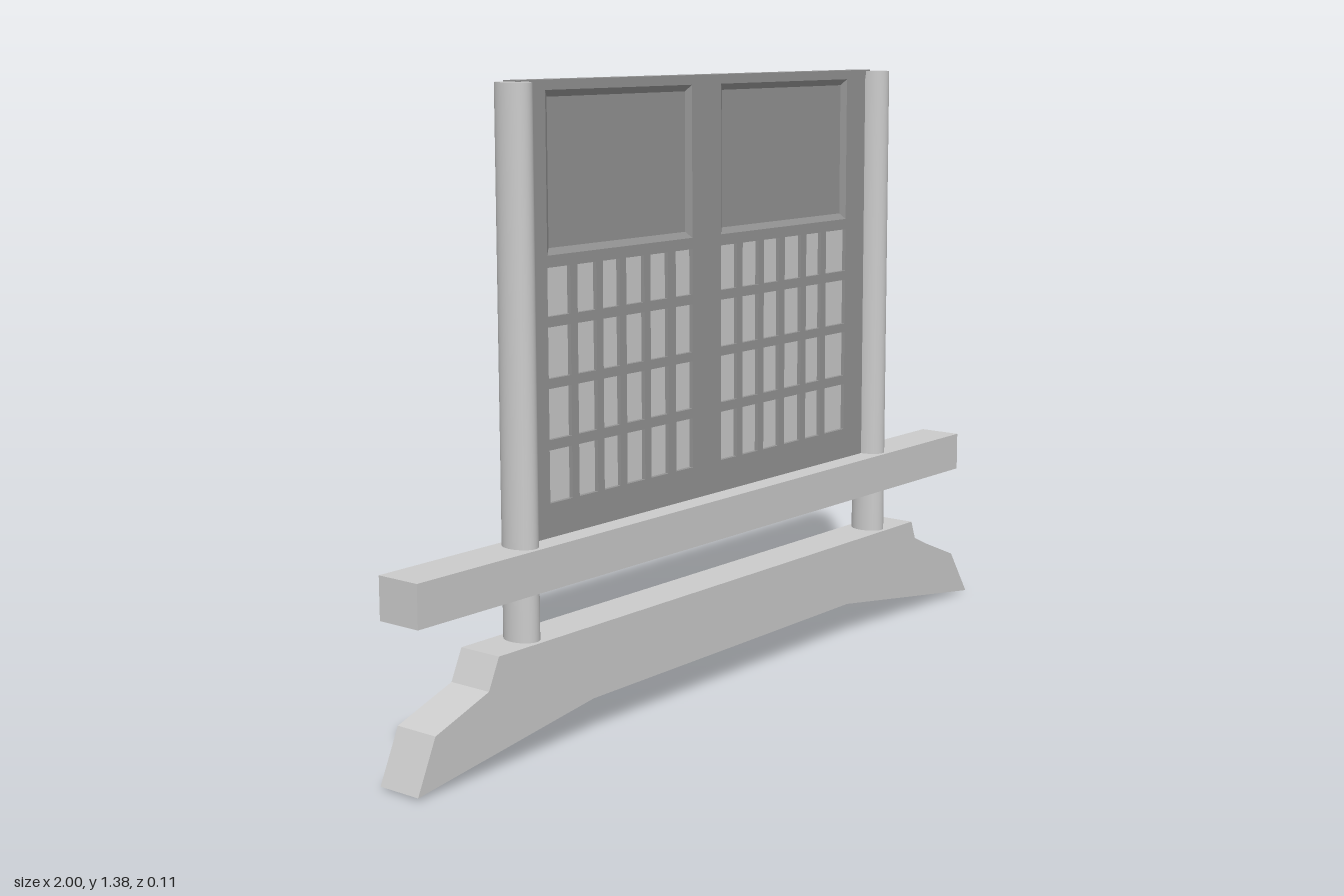
import * as THREE from 'three';

const wood = new THREE.MeshStandardMaterial({ color: 0xcccccc });
const dark = new THREE.MeshStandardMaterial({ color: 0x959595 });
const pale = new THREE.MeshStandardMaterial({ color: 0xfafafa });
const trim = new THREE.MeshStandardMaterial({ color: 0x959595, flatShading: true, side: THREE.DoubleSide });

// Box given by its limits on each axis
function box(name, [x0, x1], [y0, y1], [z0, z1], material) {
  const mesh = new THREE.Mesh(new THREE.BoxGeometry(x1 - x0, y1 - y0, z1 - z0), material);
  mesh.position.set((x0 + x1) / 2, (y0 + y1) / 2, (z0 + z1) / 2);
  mesh.name = name;
  return mesh;
}

// Outline extruded along z between two depths
function slab(name, shape, z0, z1, material) {
  const geo = new THREE.ExtrudeGeometry(shape, { depth: z1 - z0, bevelEnabled: false });
  const mesh = new THREE.Mesh(geo, material);
  mesh.position.z = z0;
  mesh.name = name;
  return mesh;
}

function rectPoints([x0, x1], [y0, y1]) {
  return [[x0, y0], [x1, y0], [x1, y1], [x0, y1]];
}

// Sloping border from a rectangle on the surface to a smaller one below it
function bevel(xs, ys, zOuter, zInner, inset) {
  const outer = rectPoints(xs, ys);
  const inner = rectPoints([xs[0] + inset, xs[1] - inset], [ys[0] + inset, ys[1] - inset]);
  const pos = [...outer.map(p => [...p, zOuter]), ...inner.map(p => [...p, zInner])].flat();
  const index = [];
  for (let i = 0; i < 4; i++) {
    const j = (i + 1) % 4;
    index.push(i, j, j + 4, i, j + 4, i + 4);
  }
  const geo = new THREE.BufferGeometry();
  geo.setAttribute('position', new THREE.Float32BufferAttribute(pos, 3));
  geo.setIndex(index);
  geo.computeVertexNormals();
  const mesh = new THREE.Mesh(geo, trim);
  mesh.name = 'panelBevel';
  return mesh;
}

export function createModel() {
  const model = new THREE.Group();
  model.name = 'latticeScreen';

  // Arched foot with stepped, curved ends
  const foot = new THREE.Shape();
  foot.moveTo(-1, 0.005);
  foot.lineTo(-0.487, 0.077);
  foot.lineTo(0.03, 0.079);
  foot.lineTo(0.45, 0.081);
  foot.lineTo(1, 0);
  foot.lineTo(0.925, 0.115);
  foot.lineTo(0.797, 0.168);
  foot.lineTo(0.75, 0.19);
  foot.lineTo(0.733, 0.236);
  foot.lineTo(-0.77, 0.236);
  foot.lineTo(-0.8, 0.17);
  foot.lineTo(-0.95, 0.117);
  foot.closePath();
  model.add(slab('foot', foot, -0.053, 0.053, wood));

  // Cross beam
  model.add(box('crossBeam', [-0.99, 0.945], [0.34, 0.432], [-0.053, 0.053], wood));

  // Oval posts
  for (const x of [-0.648, 0.612]) {
    const post = new THREE.Mesh(new THREE.CylinderGeometry(1, 1, 1.155, 32), wood);
    post.scale.set(0.032, 1, 0.043);
    post.position.set(x, 0.7975, 0);
    post.name = 'post';
    model.add(post);
  }

  // Framed panel with two large recesses and a lattice of small windows
  const back = -0.025, front = 0;
  const columns = [
    [-0.556, -0.487], [-0.465, -0.406], [-0.385, -0.332], [-0.31, -0.251], [-0.23, -0.171], [-0.144, -0.086],
    [0.016, 0.075], [0.096, 0.155], [0.176, 0.235], [0.257, 0.321], [0.342, 0.401], [0.422, 0.503],
  ];
  const rows = [[0.505, 0.617], [0.639, 0.746], [0.767, 0.874], [0.896, 0.997]];
  const recesses = [[-0.556, -0.086], [0.016, 0.503]];
  const recessY = [1.022, 1.357];

  const panel = new THREE.Shape(rectPoints([-0.635, 0.597], [0.42, 1.375]).map(p => new THREE.Vector2(...p)));
  const cut = (xs, ys) => panel.holes.push(
    new THREE.Path(rectPoints(xs, ys).reverse().map(p => new THREE.Vector2(...p))));
  for (const xs of columns) for (const ys of rows) cut(xs, ys);
  for (const xs of recesses) cut(xs, recessY);
  model.add(slab('panelFrame', panel, back, front, dark));

  // Top rail projecting at the back
  model.add(box('topRail', [-0.635, 0.597], [1.365, 1.378], [-0.04, 0.002], dark));

  // Pale sheets behind the lattice, one per side
  for (const [x0, x1] of recesses) {
    model.add(box('windowSheet', [x0 - 0.01, x1 + 0.01], [0.495, 1.005], [-0.016, -0.009], pale));
  }

  // Recessed boards with bevelled edges, front and back
  for (const xs of recesses) {
    model.add(box('recessedBoard', xs, recessY, [-0.016, -0.009], dark));
    model.add(bevel(xs, recessY, front, -0.009, 0.014));
    model.add(bevel(xs, recessY, back, -0.016, 0.014));
  }

  return model;
}
